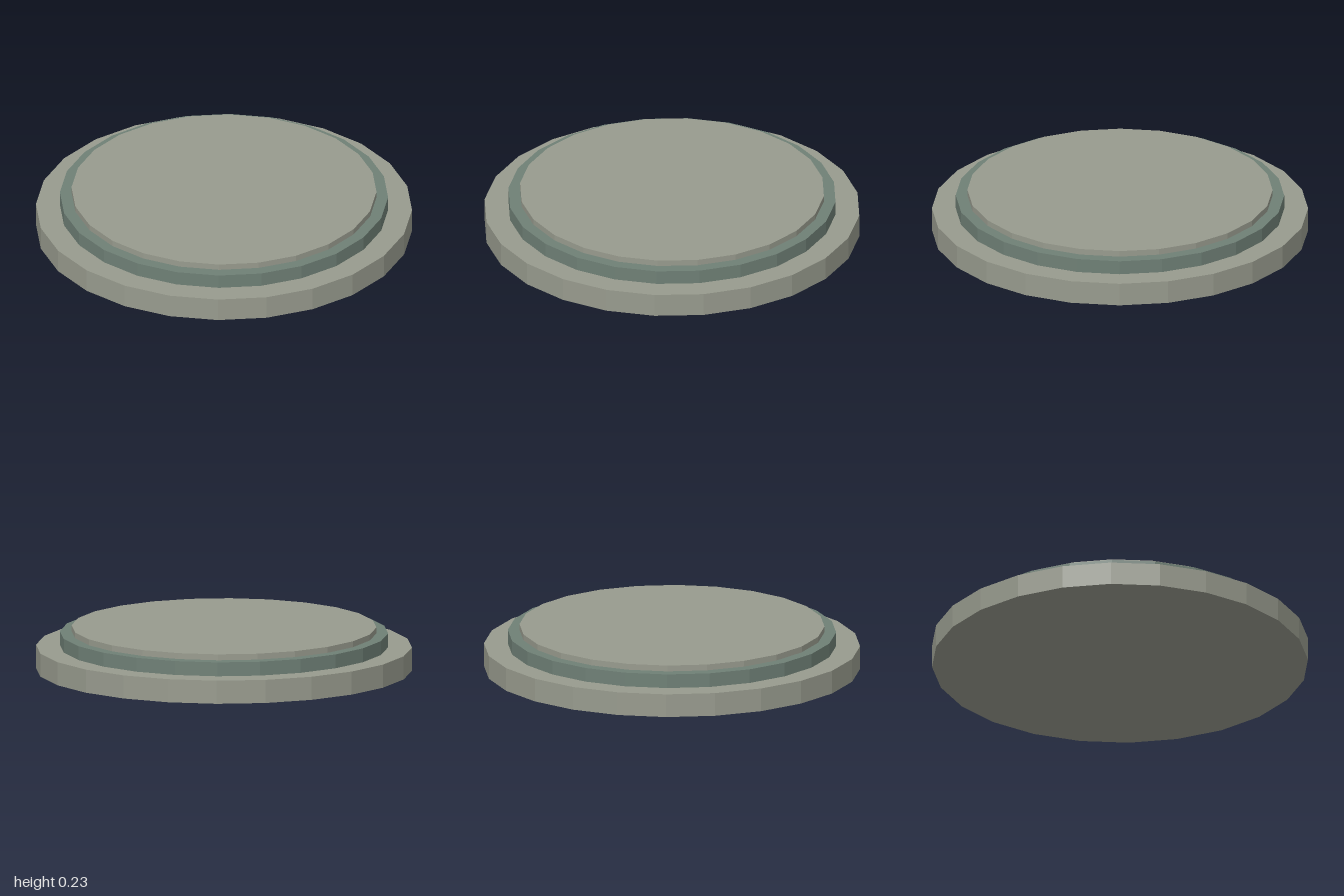
import * as THREE from 'three';

const SIDES = 24;

export function createModel() {
  const model = new THREE.Group();
  model.name = 'steppedDisc';

  const stone = new THREE.MeshStandardMaterial({ color: 0x989b8e, flatShading: true });
  const greenStone = new THREE.MeshStandardMaterial({ color: 0x6f8076, flatShading: true });

  // One flat-sided disc between two heights
  function addTier(name, radius, bottom, top, material) {
    const geometry = new THREE.CylinderGeometry(radius, radius, top - bottom, SIDES);
    const tier = new THREE.Mesh(geometry, material);
    tier.name = name;
    tier.position.y = (bottom + top) / 2;
    model.add(tier);
  }

  addTier('base', 1, 0, 0.125, stone);
  addTier('middleStep', 0.873, 0.125, 0.2, greenStone);
  addTier('topPlate', 0.811, 0.2, 0.232, stone);

  return model;
}
